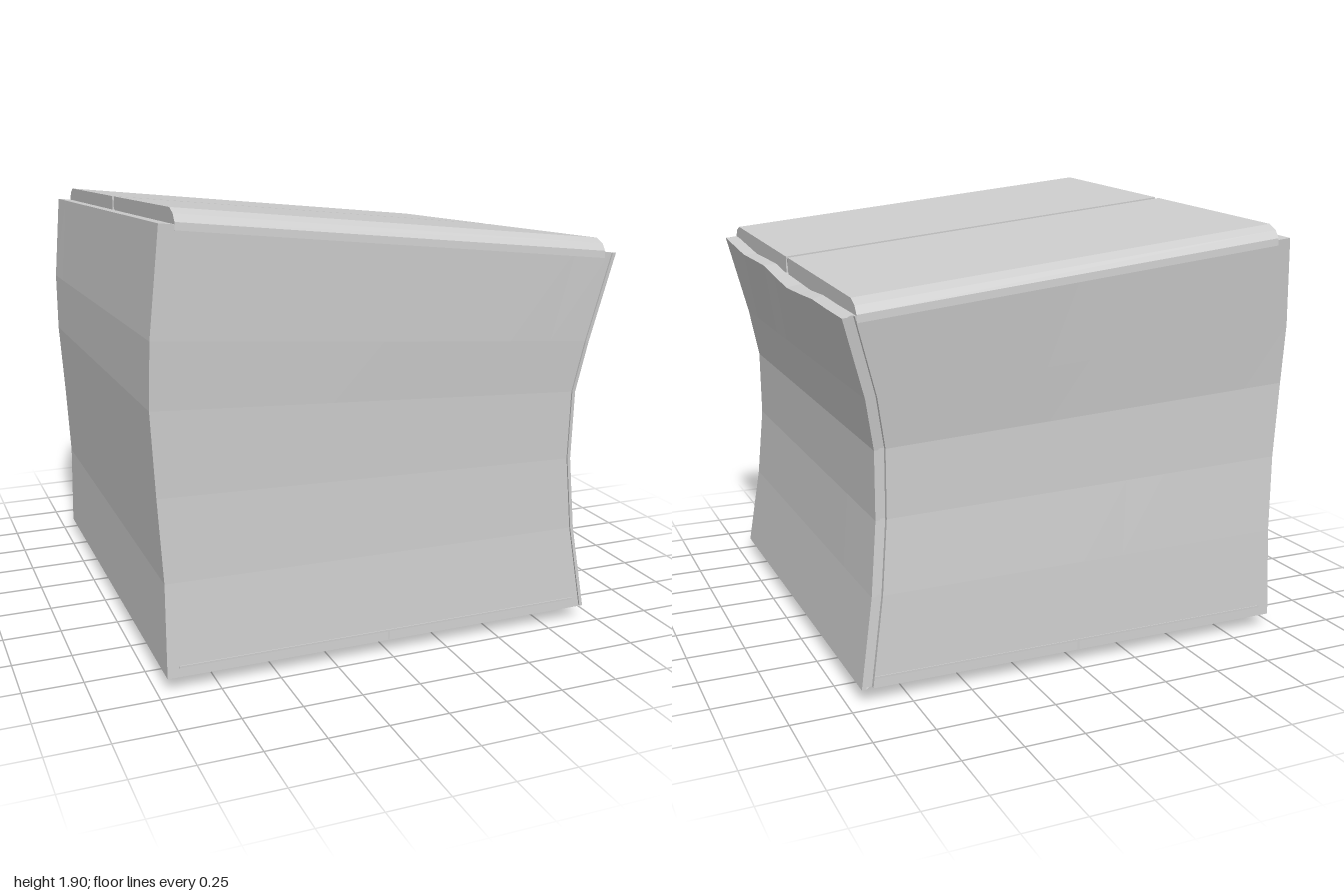
import * as THREE from 'three';

const lerp = THREE.MathUtils.lerp;
const cardboard = new THREE.MeshStandardMaterial({ color: 0xcccccc });
cardboard.name = 'grey cardboard';

// Height of the tilted lid at any point
const lidY = (x, z) => 1.9 - 0.11 * (x + 0.88) - 0.054 * (0.92 - z);

// Wall rows from bottom to rim: left y, right y, left x, right x, front z, back z, tilt to the back
const rows = [
  [0.06, 0.06, -0.96, 0.945, 0.96, -0.95, 0],
  [0.45, 0.43, -0.955, 0.89, 0.935, -0.93, 0],
  [0.8, 0.75, -0.975, 0.86, 0.93, -0.905, 0.02],
  [1.15, 1.05, -0.995, 0.86, 0.94, -0.905, 0.04],
  [1.42, 1.27, -0.99, 0.9, 0.96, -0.935, 0.05],
  [1.852, 1.642, -0.95, 0.995, 0.98, -0.98, 0.105],
];

// Flat-faced mesh from a list of triangle corners
function facets(name, points) {
  const geometry = new THREE.BufferGeometry().setFromPoints(points);
  geometry.computeVertexNormals();
  const mesh = new THREE.Mesh(geometry, cardboard);
  mesh.name = name;
  return mesh;
}

// Outline of the box as u, v in -1..1, with narrow grooves beside the corners
function outline() {
  const steps = [-0.8, -0.6, -0.4, -0.2, 0, 0.2, 0.4, 0.6, 0.8];
  const loop = [[-1, 1]];
  for (const u of steps) loop.push([u, 1]);
  loop.push([0.975, 1], [0.975, 0.992], [0.985, 0.992], [0.985, 1], [1, 1]);
  for (const v of steps) loop.push([1, -v]);
  loop.push([1, -1], [0.98, -1], [0.98, -0.98], [0.95, -0.98], [0.95, -1]);
  for (const u of steps) loop.push([-u, -1]);
  loop.push([-1, -1]);
  for (const v of steps) loop.push([-1, v]);
  return loop;
}

// Bowed and dented walls, closed at rim and floor
function makeWalls() {
  const loop = outline();
  const rings = rows.map(([yL, yR, xL, xR, zF, zB, tilt], r) => loop.map(([u, v]) => {
    const s = (u + 1) / 2, t = (v + 1) / 2;
    let y = lerp(yL, yR, s) + tilt * (t - 1);
    if (r === rows.length - 1 && u === 1) y += (1 - v * v) * (-0.02 + 0.014 * Math.sin(7 * v));
    return new THREE.Vector3(lerp(xL, xR, s), y, lerp(zB, zF, t));
  }));
  const points = [];
  const n = loop.length;
  for (let r = 0; r + 1 < rings.length; r++) {
    const a = rings[r], b = rings[r + 1];
    for (let i = 0; i < n; i++) {
      const j = (i + 1) % n;
      points.push(a[i], a[j], b[j], a[i], b[j], b[i]);
    }
  }
  const top = rings[rings.length - 1], base = rings[0];
  const topMid = new THREE.Vector3(0, lidY(0, 0) - 0.055, 0);
  const baseMid = new THREE.Vector3(0, 0.06, 0);
  for (let i = 0; i < n; i++) {
    const j = (i + 1) % n;
    points.push(top[i], top[j], topMid, base[j], base[i], baseMid);
  }
  return facets('walls', points);
}

// One lid flap: a profile with a folded outer edge, swept along x and tilted
function makeLidFlap(name, side, inner) {
  const profile = [[0.984, -0.08], [0.982, -0.05], [0.96, -0.02], [0.915, 0], [inner, 0], [inner, -0.07]];
  const shape = new THREE.Shape(profile.map(([z, y]) => new THREE.Vector2(-z * side, y)));
  let geometry = new THREE.ExtrudeGeometry(shape, { depth: 1.83, bevelEnabled: false });
  geometry.rotateY(Math.PI / 2).translate(-0.89, 0, 0);
  const p = geometry.attributes.position;
  for (let i = 0; i < p.count; i++) p.setY(i, p.getY(i) + lidY(p.getX(i), p.getZ(i)));
  geometry.computeVertexNormals();
  const mesh = new THREE.Mesh(geometry, cardboard);
  mesh.name = name;
  return mesh;
}

// Sagging bottom flap, lowest in the middle of the seam
function makeBottomFlap(name, side) {
  const x = side > 0 ? 0.945 : -0.96;
  const seam = 0.015 + side * 0.004;
  const V = (a, b, c) => new THREE.Vector3(a, b, c);
  const front = V(x, 0.06, 0.96), back = V(x, 0.06, -0.95);
  const seamFront = V(seam, 0.06, 0.957), seamBack = V(seam, 0.06, -0.947), apex = V(seam, 0, 0);
  let tris = [[front, apex, back], [front, seamFront, apex], [back, apex, seamBack]];
  if (side > 0) tris = tris.map(([a, b, c]) => [a, b, c]);
  else tris = tris.map(([a, b, c]) => [a, c, b]);
  return facets(name, tris.flat());
}

function addBox(group, name, size, position) {
  const mesh = new THREE.Mesh(new THREE.BoxGeometry(...size), cardboard);
  mesh.name = name;
  mesh.position.set(...position);
  group.add(mesh);
  return mesh;
}

export function createModel() {
  const group = new THREE.Group();
  group.name = 'cardboardBox';
  group.add(makeWalls());
  group.add(makeLidFlap('frontLidFlap', 1, 0.01));
  group.add(makeLidFlap('backLidFlap', -1, 0.022));
  // Filler just below the lid seam
  const strip = addBox(group, 'lidSeam', [1.83, 0.04, 0.06], [0.025, lidY(0.025, -0.016) - 0.027, -0.016]);
  strip.rotation.z = -Math.atan(0.11);
  // Bottom flaps and the slit lines above them
  group.add(makeBottomFlap('leftBottomFlap', 1), makeBottomFlap('rightBottomFlap', -1));
  for (const z of [0.957, -0.947]) {
    addBox(group, 'slitLine', [1.8, 0.008, 0.008], [-0.01, 0.103, z]);
    addBox(group, 'slitTick', [0.008, 0.04, 0.008], [-0.005, 0.082, z]);
  }
  return group;
}
